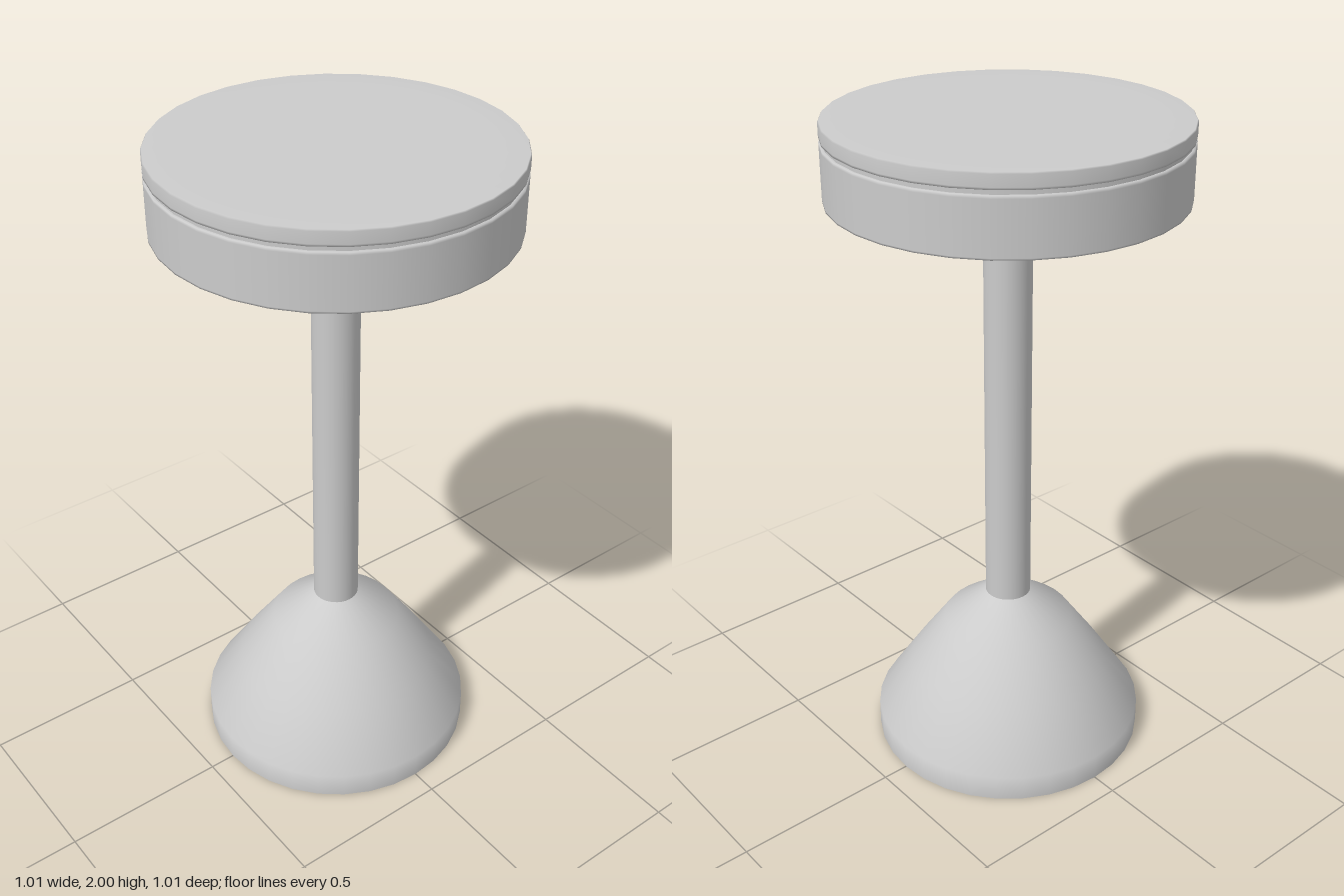
import * as THREE from 'three';

const SEGMENTS = 32;

// Revolves a bottom-to-top profile of [radius, height] pairs
function turned(name, profile, side = THREE.FrontSide) {
  const points = profile.map(([r, y]) => new THREE.Vector2(r, y));
  const mesh = new THREE.Mesh(
    new THREE.LatheGeometry(points, SEGMENTS),
    new THREE.MeshStandardMaterial({ color: 0xcccccc, side })
  );
  mesh.name = name;
  return mesh;
}

export function createModel() {
  const stool = new THREE.Group();
  stool.name = 'stool';

  // Hollow bell-shaped foot, open underneath
  stool.add(turned('base', [
    [0.42, 0], [0.42, 0.08], [0.31, 0.245], [0.2, 0.4], [0.07, 0.495],
  ], THREE.DoubleSide));

  // Straight column from the foot to the seat
  stool.add(turned('column', [[0.07, 0.495], [0.07, 1.78]], THREE.DoubleSide));

  // Lower seat body, with softened shading at the column and the rim
  stool.add(turned('seatBody', [
    [0.07, 1.785], [0.07, 1.78], [0.1, 1.78], [0.48, 1.78], [0.505, 1.78],
    [0.505, 1.785], [0.505, 1.935], [0.505, 1.943], [0.497, 1.943],
  ]));

  // Narrow groove between body and cushion
  stool.add(turned('seatGroove', [[0.497, 1.943], [0.497, 1.957]]));

  // Thin top cushion with a soft edge
  stool.add(turned('cushion', [
    [0.497, 1.957], [0.505, 1.957], [0.505, 1.963], [0.505, 1.996],
    [0.502, 2], [0.43, 2], [0, 2],
  ]));

  return stool;
}
